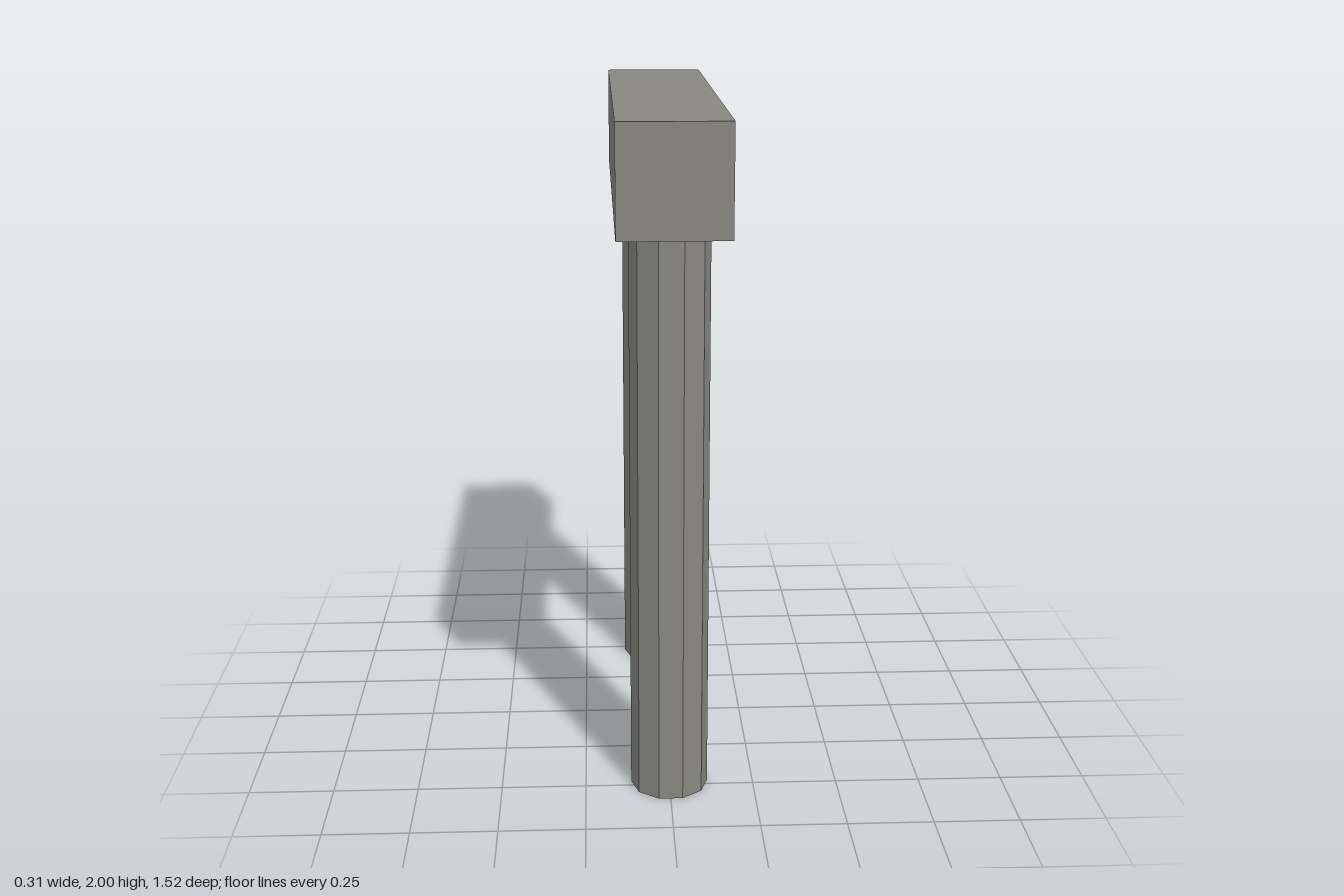
import * as THREE from 'three';

export function createModel() {
  const model = new THREE.Group();
  model.name = 'stoneGateway';

  const stone = new THREE.MeshStandardMaterial({ color: 0x888880, flatShading: true });
  stone.name = 'grey stone';

  const height = 2;
  const beamSize = 0.305;
  const beamLength = 1.524;
  const pillarHeight = height - beamSize;

  // Lintel lying along z across both pillars
  const lintel = new THREE.Mesh(new THREE.BoxGeometry(beamSize, beamSize, beamLength), stone);
  lintel.name = 'lintel';
  lintel.position.y = height - beamSize / 2;
  model.add(lintel);

  // Ten-sided pillars with a corner pointing along x
  const pillarGeometry = new THREE.CylinderGeometry(0.114, 0.114, pillarHeight, 10, 1, false, Math.PI / 2);
  for (const [name, side] of [['frontPillar', 1], ['backPillar', -1]]) {
    const pillar = new THREE.Mesh(pillarGeometry, stone);
    pillar.name = name;
    pillar.position.set(0, pillarHeight / 2, side * 0.476);
    model.add(pillar);
  }

  return model;
}
